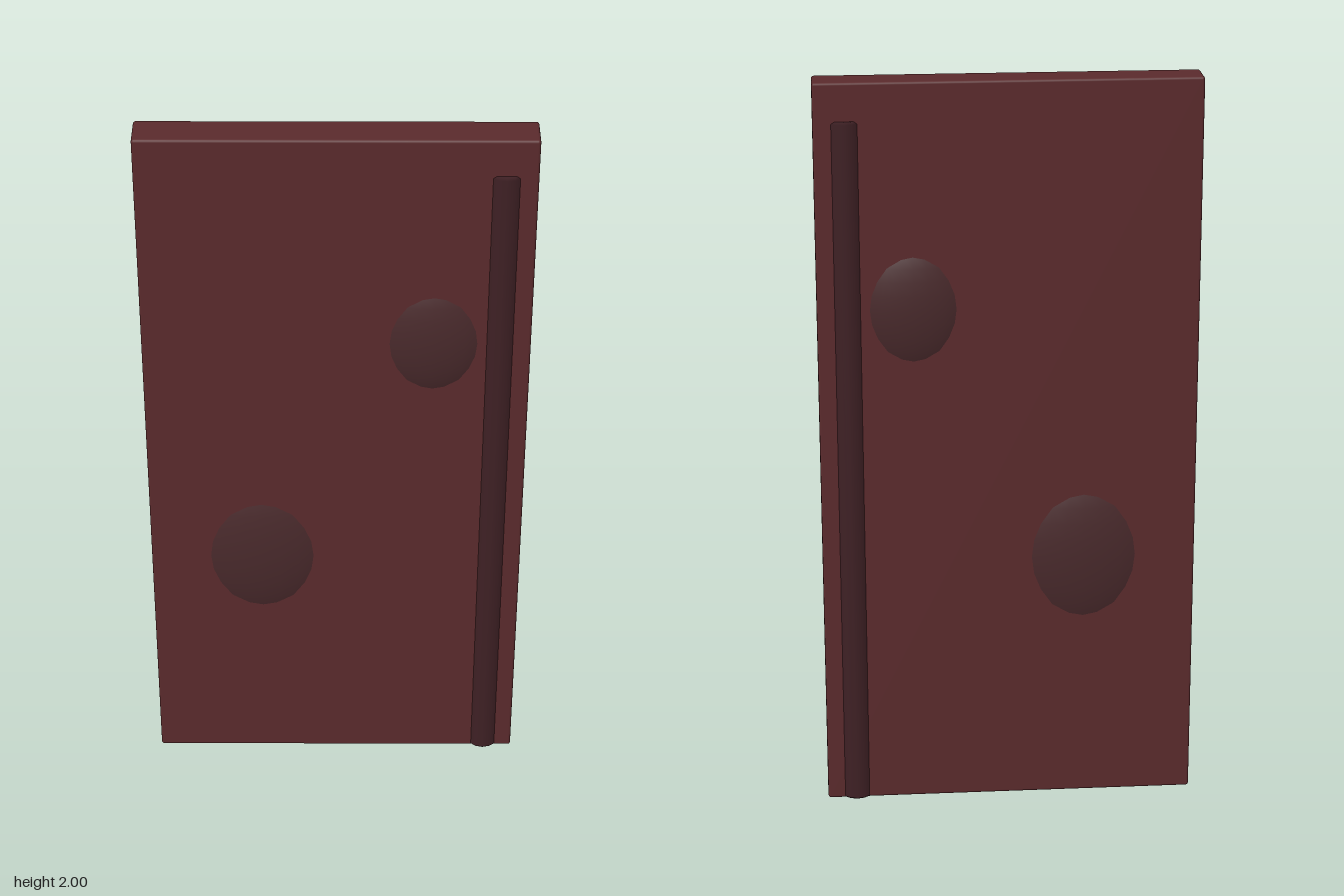
import * as THREE from 'three';
import { RoundedBoxGeometry } from 'three/addons/geometries/RoundedBoxGeometry.js';

function part(name, geometry, color, x, y) {
  const mesh = new THREE.Mesh(geometry, new THREE.MeshStandardMaterial({ color }));
  mesh.name = name;
  mesh.position.set(x, y, 0);
  return mesh;
}

// Flattened ellipsoid that bulges out of both faces of the panel
function bulge(name, x, y, rx, ry) {
  const geometry = new THREE.SphereGeometry(1, 24, 16).scale(rx, ry, 0.069);
  return part(name, geometry, 0x48292b, x, y);
}

export function createModel() {
  const group = new THREE.Group();
  group.name = 'panel';

  // Upright slab with slightly softened edges
  group.add(part('slab', new RoundedBoxGeometry(1, 2, 0.098, 2, 0.007), 0x5a2a2c, 0, 1));

  // Raised bulges, low left and high right
  group.add(bulge('lowerBulge', -0.2, 0.7, 0.198, 0.248));
  group.add(bulge('upperBulge', 0.25, 1.4, 0.16, 0.2));

  // Vertical rod embedded near one edge, with chamfered ends
  const profile = [[0, 0], [0.058, 0], [0.064, 0.006], [0.064, 1.894], [0.058, 1.9], [0, 1.9]];
  const rod = new THREE.LatheGeometry(profile.map(([r, y]) => new THREE.Vector2(r, y)), 16);
  rod.scale(0.84, 1, 1);
  group.add(part('edgeRod', rod, 0x3e2024, 0.42, 0));

  return group;
}
